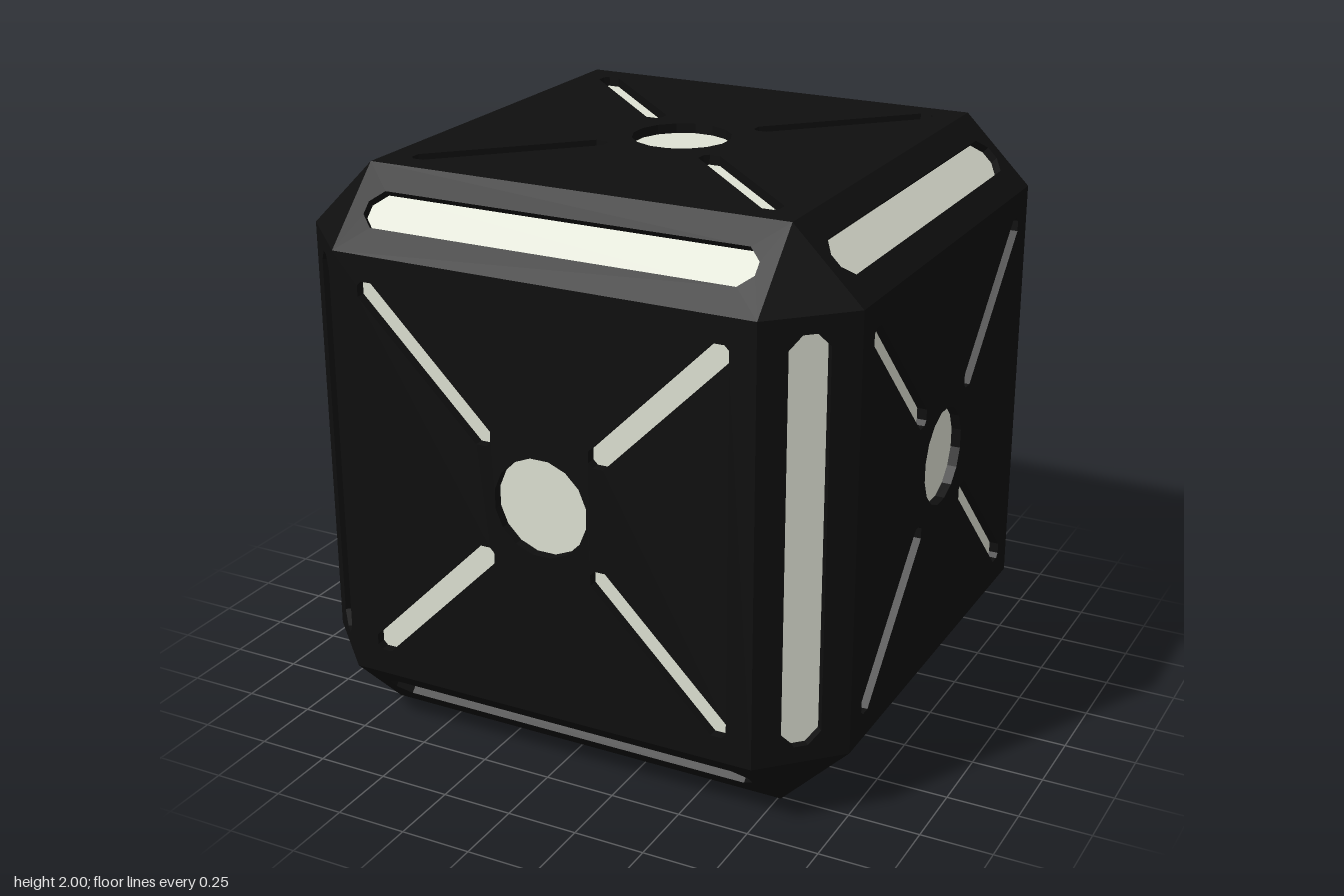
import * as THREE from 'three';

const FLAT = 0.76;              // half size of each flat face
const BEVEL = 0.24 * Math.SQRT2; // width of each bevelled edge

const shell = new THREE.MeshStandardMaterial({ color: 0x0f0f0f, flatShading: true });
shell.name = 'blackShell';
const glow = new THREE.MeshStandardMaterial({ color: 0xdfe2d4 });
glow.name = 'paleLight';

const rectangle = (w, h) => [[-w, -h], [w, -h], [w, h], [-w, h]].map(([x, y]) => new THREE.Vector2(x, y));

// Bar with clipped corners, running from r0 to r1 along a direction
function bar(r0, r1, width, cut, angle) {
  const h = width / 2;
  return [[r0, -h + cut], [r0 + cut, -h], [r1 - cut, -h], [r1, -h + cut],
    [r1, h - cut], [r1 - cut, h], [r0 + cut, h], [r0, h - cut]]
    .map(([x, y]) => new THREE.Vector2(x, y).rotateAround(new THREE.Vector2(), angle));
}

function disc(radius, sides) {
  return Array.from({ length: sides }, (_, i) => {
    const a = ((i + 0.5) / sides) * Math.PI * 2;
    return new THREE.Vector2(Math.cos(a) * radius, Math.sin(a) * radius);
  });
}

// Plate with cut-outs, and a light at the bottom of each cut-out
function makePanel(name, outline, cutouts, depth) {
  const panel = new THREE.Group();
  panel.name = name;
  const shape = new THREE.Shape(outline);
  shape.holes = cutouts.map(points => new THREE.Path(points));
  const plateGeo = new THREE.ExtrudeGeometry(shape, { depth, bevelEnabled: false });
  plateGeo.translate(0, 0, -depth);
  const plate = new THREE.Mesh(plateGeo, shell);
  plate.name = name + 'Plate';
  const lightGeo = new THREE.ShapeGeometry(cutouts.map(points => new THREE.Shape(points)));
  lightGeo.translate(0, 0, -depth);
  const lights = new THREE.Mesh(lightGeo, glow);
  lights.name = name + 'Lights';
  panel.add(plate, lights);
  return panel;
}

// Turn a panel so its local z points outward and local y follows an edge
function place(panel, normal, along, distance) {
  const n = normal.clone().normalize();
  const side = new THREE.Vector3().crossVectors(along, n);
  panel.quaternion.setFromRotationMatrix(new THREE.Matrix4().makeBasis(side, along, n));
  panel.position.copy(n).multiplyScalar(distance);
  return panel;
}

export function createModel() {
  const model = new THREE.Group();
  model.name = 'lightCube';
  const cube = new THREE.Group();
  cube.name = 'cubeBody';
  cube.position.y = 1;
  model.add(cube);

  const axes = [new THREE.Vector3(1, 0, 0), new THREE.Vector3(0, 1, 0), new THREE.Vector3(0, 0, 1)];
  const faceCuts = [disc(0.173, 16)];
  for (let i = 0; i < 4; i++) faceCuts.push(bar(0.267, 0.936, 0.076, 0.027, Math.PI / 4 + i * Math.PI / 2));
  const edgeCuts = [bar(-0.702, 0.702, 0.138, 0.045, Math.PI / 2)];

  for (let i = 0; i < 3; i++) {
    const a = axes[i], b = axes[(i + 1) % 3], c = axes[(i + 2) % 3];
    for (const s of [-1, 1]) {
      // Flat face with central disc and four diagonal bars
      const face = makePanel('face', rectangle(FLAT, FLAT), faceCuts, 0.034);
      cube.add(place(face, a.clone().multiplyScalar(s), b, 1));
      // Bevelled edges parallel to axis c, each with one long bar
      for (const t of [-1, 1]) {
        const normal = a.clone().multiplyScalar(s).addScaledVector(b, t);
        const edge = makePanel('bevelEdge', rectangle(BEVEL / 2, FLAT), edgeCuts, 0.028);
        cube.add(place(edge, normal, c, 0.88 * Math.SQRT2));
      }
    }
  }

  // Triangular corners
  for (const x of [-1, 1]) for (const y of [-1, 1]) for (const z of [-1, 1]) {
    const points = [
      new THREE.Vector3(x, y * FLAT, z * FLAT),
      new THREE.Vector3(x * FLAT, y, z * FLAT),
      new THREE.Vector3(x * FLAT, y * FLAT, z),
    ];
    if (x * y * z < 0) points.reverse();
    const geo = new THREE.BufferGeometry().setFromPoints(points);
    geo.computeVertexNormals();
    const corner = new THREE.Mesh(geo, shell);
    corner.name = 'corner';
    cube.add(corner);
  }
  return model;
}
